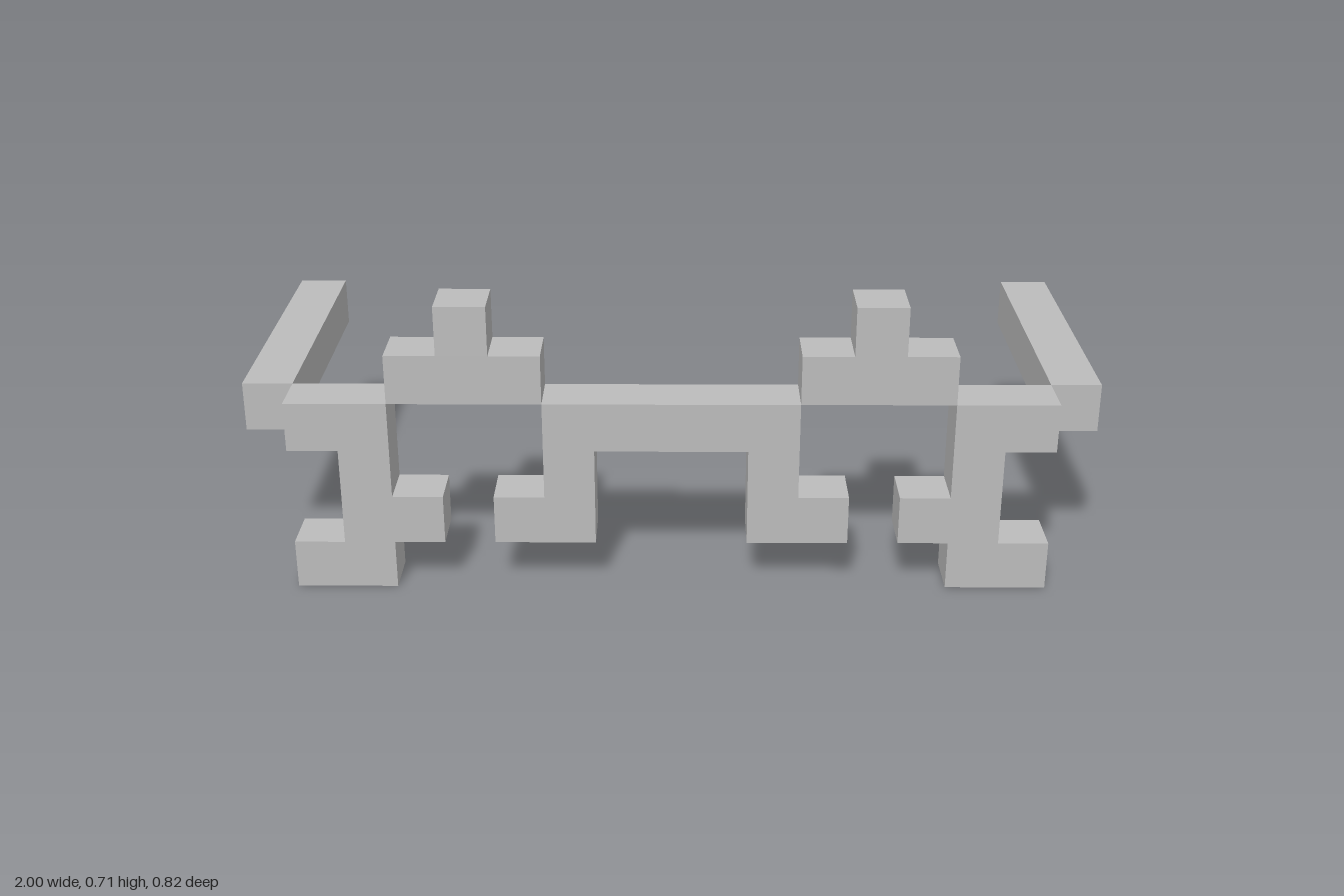
import * as THREE from 'three';

const U = 2 / 17; // one block of the grid
const FRONT_Z = 2.5; // back face of the front frame, in blocks

export function createModel() {
  const group = new THREE.Group();
  const grey = new THREE.MeshStandardMaterial({ color: 0xbcbcbc });
  grey.name = 'grey';

  // Slab one block thick, cut from a stepped outline given in blocks
  const addSlab = (name, points, side = 1) => {
    const shape = new THREE.Shape(points.map(([x, y]) => new THREE.Vector2(x * side * U, y * U)));
    const geometry = new THREE.ExtrudeGeometry(shape, { depth: U, bevelEnabled: false });
    const mesh = new THREE.Mesh(geometry, grey);
    mesh.name = name;
    mesh.position.z = FRONT_Z * U;
    group.add(mesh);
  };

  // Nose bridge with a hooked foot at each end
  const bridgeHalf = [[1.5, 3], [1.5, 1], [3.5, 1], [3.5, 2], [2.5, 2], [2.5, 4]];
  const bridgeMirror = bridgeHalf.map(([x, y]) => [-x, y]).reverse();
  addSlab('bridge', [...bridgeHalf, ...bridgeMirror]);

  // Stepped cap above each eye opening
  const brow = [[2.5, 4], [5.5, 4], [5.5, 5], [4.5, 5], [4.5, 6], [3.5, 6], [3.5, 5], [2.5, 5]];

  // Outer rim with an inward stub and an outward foot
  const rim = [
    [5.5, 4], [5.5, 2], [4.5, 2], [4.5, 1], [5.5, 1], [5.5, 0],
    [7.5, 0], [7.5, 1], [6.5, 1], [6.5, 3], [7.5, 3], [7.5, 4],
  ];

  for (const [label, side] of [['left', 1], ['right', -1]]) {
    addSlab(label + 'Brow', brow, side);
    addSlab(label + 'OuterRim', rim, side);

    // Temple arm running straight back
    const temple = new THREE.Mesh(new THREE.BoxGeometry(U, U, 6 * U), grey);
    temple.name = label + 'Temple';
    temple.position.set(side * 8 * U, 3.5 * U, -0.5 * U);
    group.add(temple);
  }
  return group;
}
